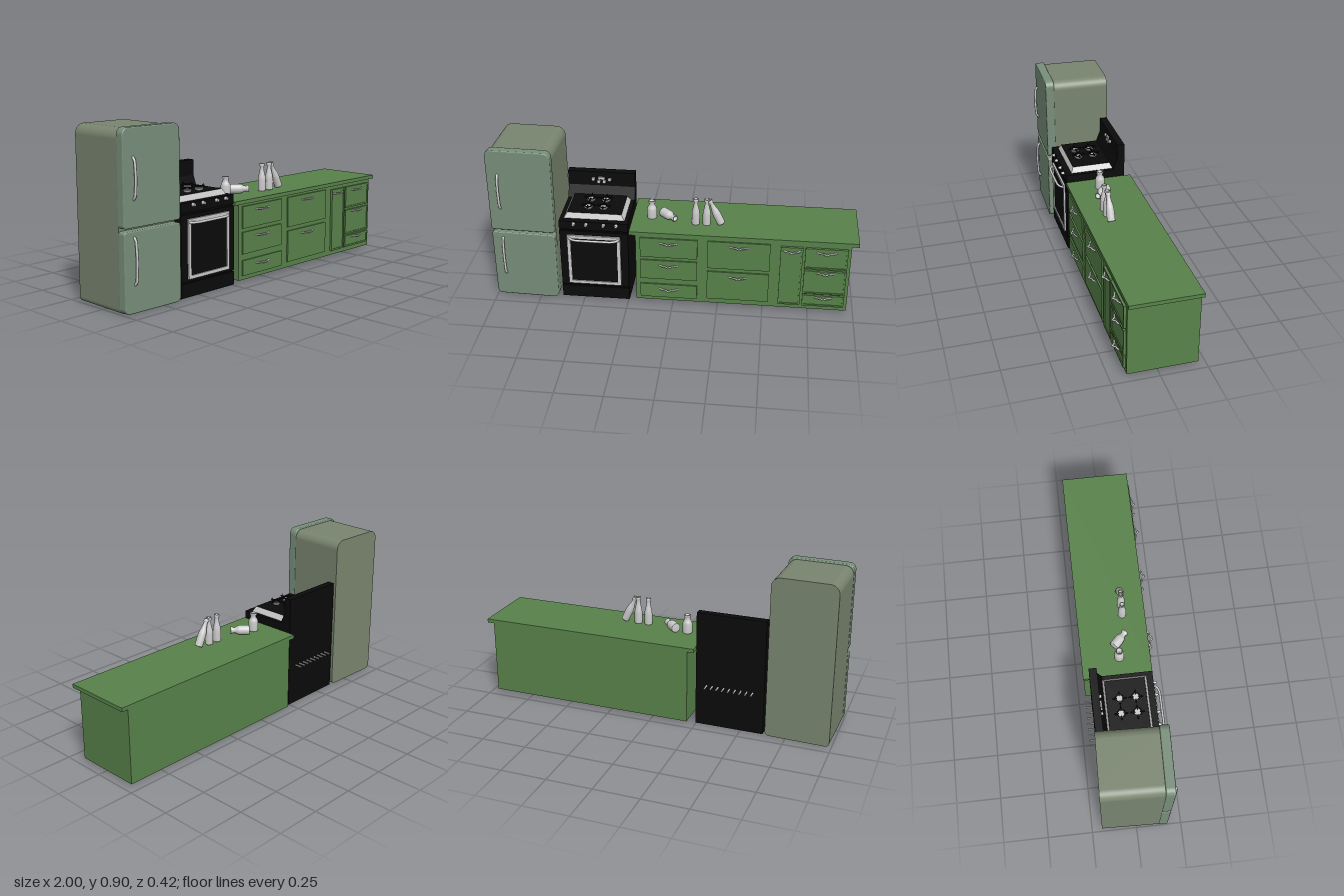
import * as THREE from 'three';

const mat = (color, side = THREE.FrontSide) => new THREE.MeshStandardMaterial({ color, side });
const green = mat(0x58824a), sage = mat(0x788e7a), sageBody = mat(0x79856f), black = mat(0x0a0a0a);
const grey = mat(0xcccccc), greyThin = mat(0xcccccc, THREE.DoubleSide);

function add(parent, name, geo, material, x = 0, y = 0, z = 0) {
  const m = new THREE.Mesh(geo, material);
  m.name = name;
  m.position.set(x, y, z);
  parent.add(m);
  return m;
}

// Box given by its minimum and maximum corners
function box(parent, name, material, x0, x1, y0, y1, z0, z1) {
  return add(parent, name, new THREE.BoxGeometry(x1 - x0, y1 - y0, z1 - z0), material,
    (x0 + x1) / 2, (y0 + y1) / 2, (z0 + z1) / 2);
}

function tube(parent, name, points, r, material = grey) {
  const curve = new THREE.CatmullRomCurve3(points.map(p => new THREE.Vector3(...p)), false, 'catmullrom', 0.2);
  return add(parent, name, new THREE.TubeGeometry(curve, 20, r, 8), material);
}

// Rectangle with separate corner radii for top and bottom, extruded along z
function roundedSlab(w, y0, y1, rTop, rBottom, depth, bevel = 0) {
  const a = w / 2 - bevel, b = y0 + bevel, t = y1 - bevel;
  const s = new THREE.Shape();
  s.moveTo(-a + rBottom, b);
  s.lineTo(a - rBottom, b);
  s.absarc(a - rBottom, b + rBottom, rBottom, -Math.PI / 2, 0);
  s.lineTo(a, t - rTop);
  s.absarc(a - rTop, t - rTop, rTop, 0, Math.PI / 2);
  s.lineTo(-a + rTop, t);
  s.absarc(-a + rTop, t - rTop, rTop, Math.PI / 2, Math.PI);
  s.lineTo(-a, b + rBottom);
  s.absarc(-a + rBottom, b + rBottom, rBottom, Math.PI, Math.PI * 1.5);
  const g = new THREE.ExtrudeGeometry(s, { depth: depth - 2 * bevel, curveSegments: 10,
    bevelEnabled: bevel > 0, bevelSize: bevel, bevelThickness: bevel, bevelSegments: 3 });
  return g.translate(0, 0, bevel);
}

// Rectangular frame in the xy plane
function frameGeo(w, h, border, depth) {
  const rect = (T, a, b) => new T([[-a, -b], [a, -b], [a, b], [-a, b]].map(p => new THREE.Vector2(...p)));
  const s = rect(THREE.Shape, w / 2, h / 2);
  s.holes.push(rect(THREE.Path, w / 2 - border, h / 2 - border));
  return new THREE.ExtrudeGeometry(s, { depth, bevelEnabled: false });
}

function buildFridge() {
  const g = new THREE.Group();
  g.name = 'refrigerator';
  add(g, 'fridgeBody', roundedSlab(0.35, 0.003, 0.898, 0.05, 0.025, 0.325), sageBody, 0, 0, -0.187);
  // two doors with a gap between them
  add(g, 'lowerDoor', roundedSlab(0.354, 0.006, 0.41, 0.01, 0.022, 0.05, 0.006), sage, 0, 0, 0.132);
  add(g, 'upperDoor', roundedSlab(0.354, 0.425, 0.905, 0.03, 0.01, 0.05, 0.006), sage, 0, 0, 0.132);
  for (const [name, y0, y1] of [['lowerHandle', 0.145, 0.38], ['upperHandle', 0.56, 0.765]])
    tube(g, name, [[-0.115, y0, 0.178], [-0.115, y0 + 0.02, 0.194], [-0.115, (y0 + y1) / 2, 0.2],
      [-0.115, y1 - 0.02, 0.194], [-0.115, y1, 0.178]], 0.007);
  g.position.set(-0.818, 0, -0.002);
  g.rotation.y = -0.03;
  return g;
}

function buildStove() {
  const g = new THREE.Group();
  g.name = 'stove';
  box(g, 'stoveBody', black, -0.19, 0.19, 0.003, 0.495, -0.178, 0.155);
  box(g, 'storageDrawer', black, -0.19, 0.19, 0.008, 0.08, 0.155, 0.165);
  box(g, 'ovenDoor', black, -0.19, 0.19, 0.088, 0.435, 0.155, 0.165);
  box(g, 'controlStrip', black, -0.19, 0.19, 0.445, 0.495, 0.155, 0.165);

  // backsplash: side profile extruded across the width
  const profile = [[-0.178, 0.49], [-0.108, 0.49], [-0.136, 0.565], [-0.136, 0.65], [-0.178, 0.65]];
  const s = new THREE.Shape(profile.map(([z, y]) => new THREE.Vector2(-z, y)));
  add(g, 'backsplash', new THREE.ExtrudeGeometry(s, { depth: 0.38, bevelEnabled: false })
    .rotateY(Math.PI / 2).translate(-0.19, 0, 0), black);
  // clock and dials
  for (let i = 0; i < 4; i++)
    add(g, 'backsplashDial', new THREE.CylinderGeometry(0.01, 0.01, 0.012, 14).rotateX(Math.PI / 2), grey,
      -0.047 + i * 0.031, i % 3 ? 0.592 : 0.606, -0.132);
  box(g, 'clock', grey, -0.018, 0.018, 0.605, 0.62, -0.137, -0.128);

  // sloped rim around the cooktop
  const rim = new THREE.CylinderGeometry(0.89, 1, 0.03, 4, 1, true).toNonIndexed();
  rim.rotateY(Math.PI / 4).scale(0.168 * Math.SQRT2, 1, 0.122 * Math.SQRT2);
  rim.computeVertexNormals();
  add(g, 'cooktopRim', rim, greyThin, 0, 0.51, 0.008);
  box(g, 'cooktop', black, -0.15, 0.15, 0.495, 0.525, -0.1, 0.116);

  // burners with cross-shaped grates
  for (const x of [-0.042, 0.042]) for (const z of [-0.03, 0.057]) {
    add(g, 'burnerDish', new THREE.CylinderGeometry(0.024, 0.018, 0.01, 20), grey, x, 0.53, z);
    add(g, 'burnerRing', new THREE.TorusGeometry(0.021, 0.003, 6, 20).rotateX(Math.PI / 2), black, x, 0.543, z);
    for (let i = 0; i < 4; i++) {
      const a = i * Math.PI / 2;
      const arm = add(g, 'grateArm', new THREE.BoxGeometry(0.026, 0.006, 0.005), black,
        x + 0.026 * Math.cos(a), 0.545, z + 0.026 * Math.sin(a));
      arm.rotation.y = -a;
      add(g, 'grateTip', new THREE.ConeGeometry(0.005, 0.02, 6), black,
        x + 0.03 * Math.cos(a), 0.55, z + 0.03 * Math.sin(a));
    }
  }
  // control knobs
  for (const x of [-0.108, -0.038, 0.058, 0.127])
    add(g, 'knob', new THREE.CylinderGeometry(0.007, 0.01, 0.018, 14).rotateX(Math.PI / 2), grey, x, 0.482, 0.173);

  // oven window and handle
  add(g, 'windowFrame', frameGeo(0.295, 0.31, 0.018, 0.012), grey, 0, 0.257, 0.163);
  box(g, 'window', black, -0.13, 0.13, 0.12, 0.394, 0.164, 0.169);
  tube(g, 'ovenHandle', [[-0.142, 0.395, 0.168], [-0.12, 0.395, 0.19], [-0.09, 0.395, 0.198],
    [0.09, 0.395, 0.198], [0.12, 0.395, 0.19], [0.142, 0.395, 0.168]], 0.007);

  // row of vent pegs on the back
  for (let i = 0; i < 9; i++) {
    const peg = add(g, 'ventPeg', new THREE.CylinderGeometry(0.005, 0.005, 0.04, 8), grey,
      -0.127 + i * 0.032, 0.236, -0.194);
    peg.rotation.x = Math.PI / 2;
  }
  g.position.x = -0.435;
  return g;
}

function buildCounter() {
  const g = new THREE.Group();
  g.name = 'counter';
  box(g, 'cabinet', green, -0.205, 0.962, 0.018, 0.432, -0.21, 0.163);
  box(g, 'worktop', green, -0.24, 1, 0.432, 0.453, -0.212, 0.169);

  // fronts: x0, x1, y0, y1, handle height, raised border
  const fronts = [
    [-0.18, 0.135, 0.3, 0.42, 0.393], [-0.18, 0.135, 0.16, 0.28, 0.25], [-0.18, 0.135, 0.04, 0.125, 0.095],
    [0.19, 0.53, 0.25, 0.42, 0.393], [0.19, 0.53, 0.05, 0.228, 0.2],
    [0.585, 0.705, 0.045, 0.413, 0.388, true],
    [0.717, 0.945, 0.285, 0.413, 0.388, true], [0.717, 0.945, 0.124, 0.272, 0.26, true],
    [0.717, 0.945, 0.045, 0.114, 0.102, true],
  ];
  for (const [x0, x1, y0, y1, hy, bordered] of fronts) {
    const cx = (x0 + x1) / 2, hw = bordered && x1 - x0 < 0.2 ? 0.045 : 0.052;
    box(g, 'drawerFront', green, x0, x1, y0, y1, 0.16, 0.171);
    if (bordered) add(g, 'frontBorder', frameGeo(x1 - x0, y1 - y0, 0.009, 0.006), green, cx, (y0 + y1) / 2, 0.17);
    // bowed pull, flattened in height
    const pull = tube(g, 'drawerPull', [[-hw, 0, 0.168], [-hw * 0.6, 0, 0.181], [-hw * 0.3, 0, 0.183],
      [0, 0, 0.198], [hw * 0.3, 0, 0.183], [hw * 0.6, 0, 0.181], [hw, 0, 0.168]], 0.005);
    pull.position.set(cx, hy, 0);
  }
  return g;
}

// Lathe-turned bottle standing on its base
function bottle(parent, name, points, x, y, z) {
  return add(parent, name, new THREE.LatheGeometry(points.map(p => new THREE.Vector2(...p)), 24), greyThin, x, y, z);
}

function buildBottles() {
  const g = new THREE.Group();
  g.name = 'bottles';
  const short = [[0, 0], [0.024, 0], [0.027, 0.004], [0.027, 0.055], [0.023, 0.068], [0.016, 0.078],
    [0.015, 0.092], [0.019, 0.096], [0.019, 0.105], [0.014, 0.106], [0.012, 0.09], [0, 0.088]];
  const tall = [[0, 0], [0.02, 0], [0.022, 0.004], [0.022, 0.062], [0.02, 0.082], [0.014, 0.105],
    [0.011, 0.125], [0.011, 0.138], [0.014, 0.141], [0.014, 0.155], [0.01, 0.156], [0.009, 0.14], [0, 0.138]];
  bottle(g, 'jar', short, -0.133, 0.453, -0.002);
  const lying = bottle(g, 'lyingJar', short, -0.076, 0.48, -0.026);
  lying.quaternion.setFromUnitVectors(new THREE.Vector3(0, 1, 0), new THREE.Vector3(0.075, 0, 0.07).normalize());
  bottle(g, 'tallBottle', tall, 0.114, 0.453, 0.041);
  bottle(g, 'tallBottle', tall, 0.174, 0.453, 0.041);
  bottle(g, 'leaningBottle', tall, 0.255, 0.463, 0.041).rotation.z = 0.44;
  return g;
}

export function createModel() {
  const model = new THREE.Group();
  model.name = 'kitchen';
  model.add(buildFridge(), buildStove(), buildCounter(), buildBottles());
  return model;
}
